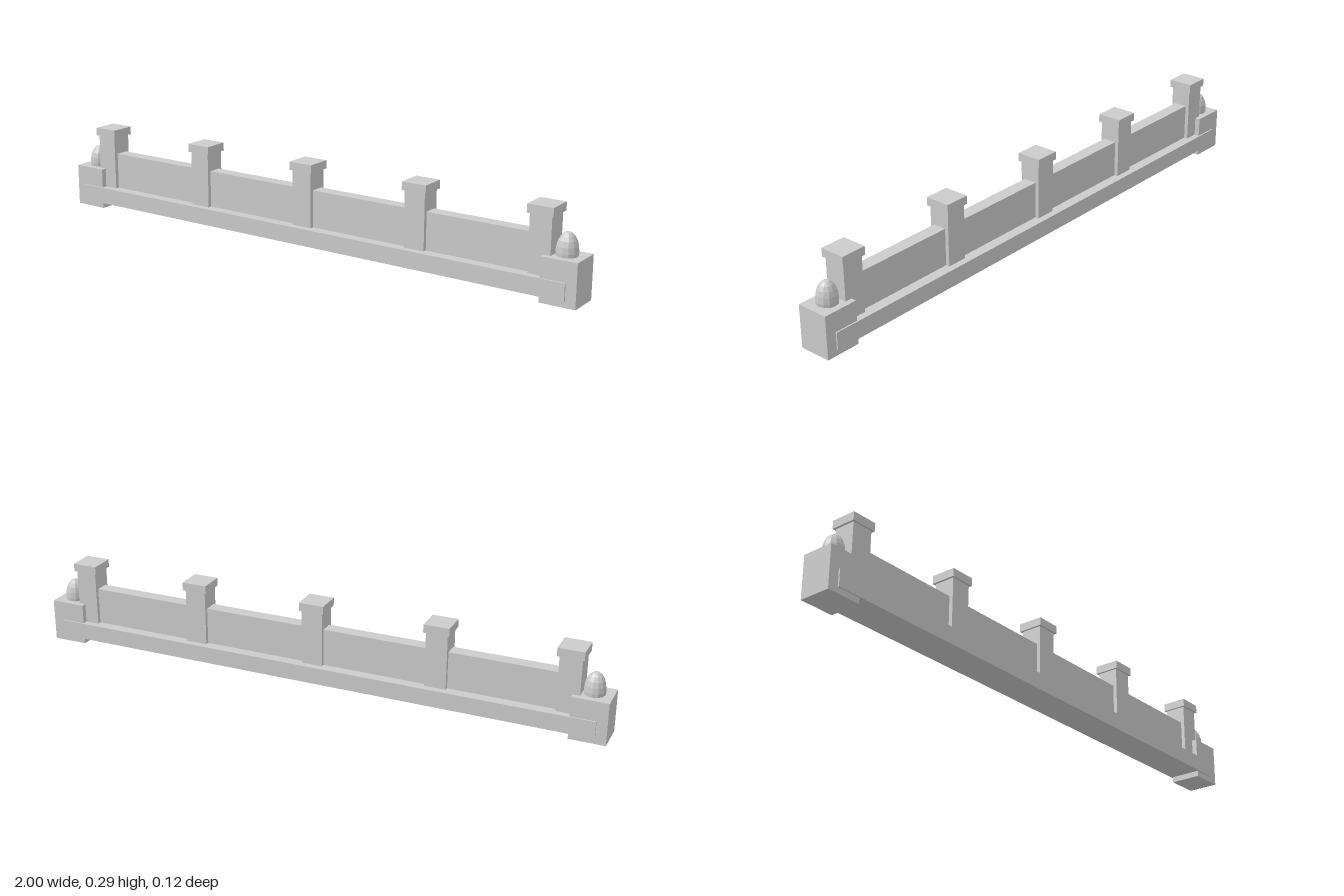
import * as THREE from 'three';

const material = new THREE.MeshStandardMaterial({ color: 0xcccccc, flatShading: true });

// Box given by its centre x, bottom and top heights, width and depth
function block(name, x, y0, y1, width, depth) {
  const mesh = new THREE.Mesh(new THREE.BoxGeometry(width, y1 - y0, depth), material);
  mesh.name = name;
  mesh.position.set(x, (y0 + y1) / 2, 0);
  return mesh;
}

export function createModel() {
  const model = new THREE.Group();
  model.name = 'parapet';

  // Long base beam and the thin wall standing on it
  model.add(block('baseBeam', 0, 0.02, 0.078, 1.93, 0.12));
  model.add(block('wallPanel', 0, 0.07, 0.205, 1.734, 0.046));

  // Five evenly spaced posts with overhanging caps
  for (let i = -2; i <= 2; i++) {
    const post = new THREE.Group();
    post.name = 'post';
    post.position.x = i * 0.4335;
    post.add(block('postShaft', 0, 0.07, 0.267, 0.073, 0.073));
    post.add(block('postCap', 0, 0.267, 0.295, 0.087, 0.087));
    model.add(post);
  }

  // End blocks, each topped by an egg-shaped finial
  for (const side of [-1, 1]) {
    const end = new THREE.Group();
    end.name = side > 0 ? 'leftEnd' : 'rightEnd';
    end.position.x = side * 0.94;
    end.add(block('endBlock', 0, 0, 0.145, 0.12, 0.11));
    const finial = new THREE.Mesh(new THREE.SphereGeometry(0.035, 12, 10), material);
    finial.name = 'finial';
    finial.scale.y = 1.8;
    finial.position.y = 0.156;
    end.add(finial);
    model.add(end);
  }
  return model;
}
